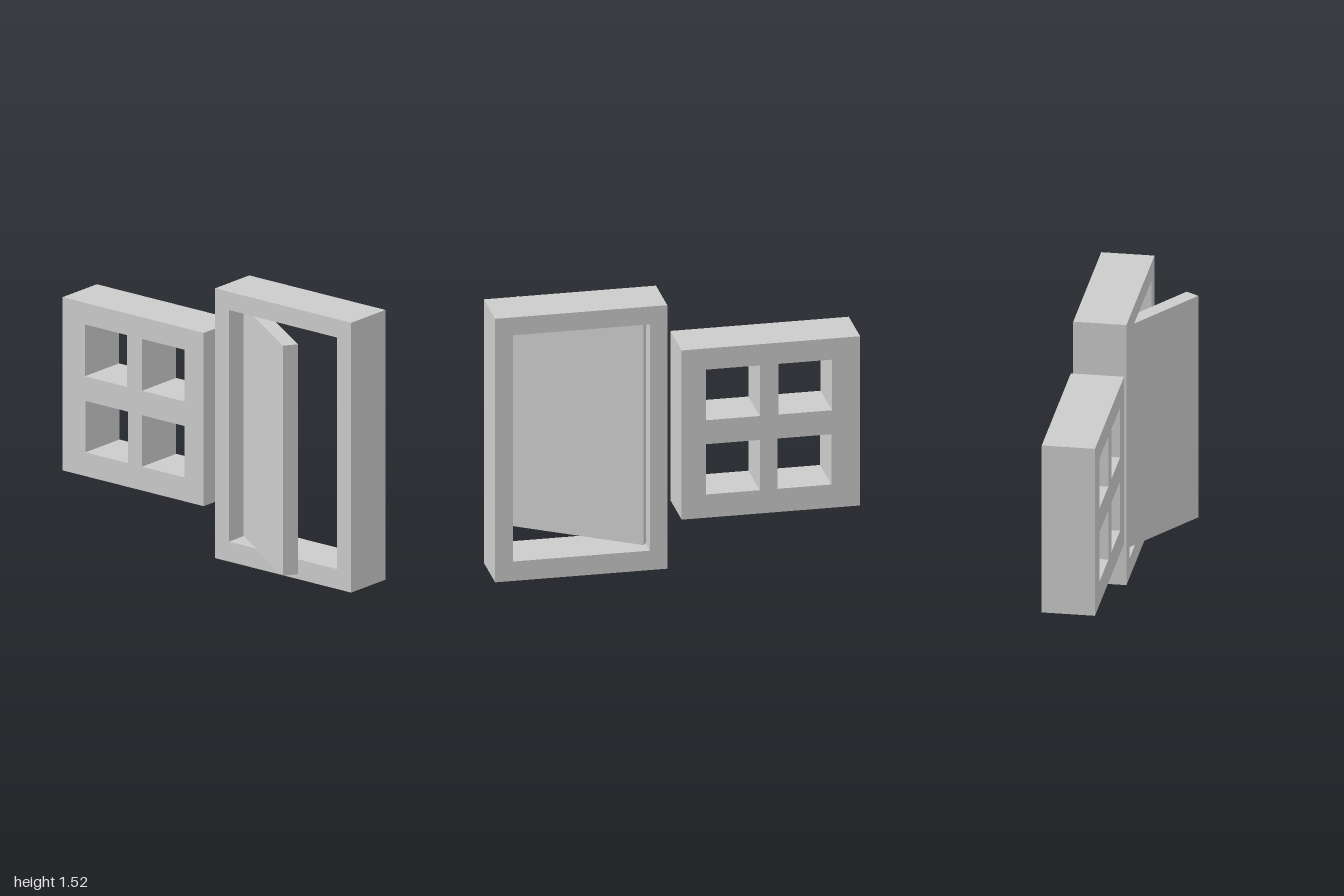
import * as THREE from 'three';

const material = new THREE.MeshStandardMaterial({ color: 0xcccccc, flatShading: true });
const X_FRONT = 0.282, DEPTH = 0.289;

// Rectangle outline given by z and y limits
function rectPoints([z0, z1, y0, y1]) {
  return [[z0, y0], [z1, y0], [z1, y1], [z0, y1]].map(([z, y]) => new THREE.Vector2(z, y));
}

// Upright slab in the zy plane with rectangular openings through its depth
function piercedSlab(name, outline, openings) {
  const shape = new THREE.Shape(rectPoints(outline));
  for (const o of openings) shape.holes.push(new THREE.Path(rectPoints(o).reverse()));
  const geometry = new THREE.ExtrudeGeometry(shape, { depth: DEPTH, bevelEnabled: false });
  geometry.rotateY(-Math.PI / 2); // outline x becomes z, depth runs towards -x
  geometry.translate(X_FRONT, 0, 0);
  const mesh = new THREE.Mesh(geometry, material);
  mesh.name = name;
  return mesh;
}

export function createModel() {
  const group = new THREE.Group();
  group.name = 'doorAndWindow';

  // Door frame with one tall opening
  group.add(piercedSlab('doorFrame', [0.057, 1, 0, 1.52], [[0.152, 0.902, 0.112, 1.417]]));

  // Door leaf, swung ajar about its hinge edge
  const door = new THREE.Mesh(new THREE.BoxGeometry(0.084, 1.295, 0.756), material);
  door.name = 'doorLeaf';
  door.position.set(-0.04, 0.7625, 0.4625);
  door.rotation.y = -0.587;
  group.add(door);

  // Window frame with four panes
  const panes = [];
  for (const [y0, y1, shift] of [[0.41, 0.7, 0.004], [0.838, 1.13, 0]]) {
    panes.push([-0.45, -0.156, y0, y1], [-0.846 + shift, -0.552 + shift, y0, y1]);
  }
  group.add(piercedSlab('windowFrame', [-1, -0.022, 0.276, 1.252], panes));

  return group;
}
